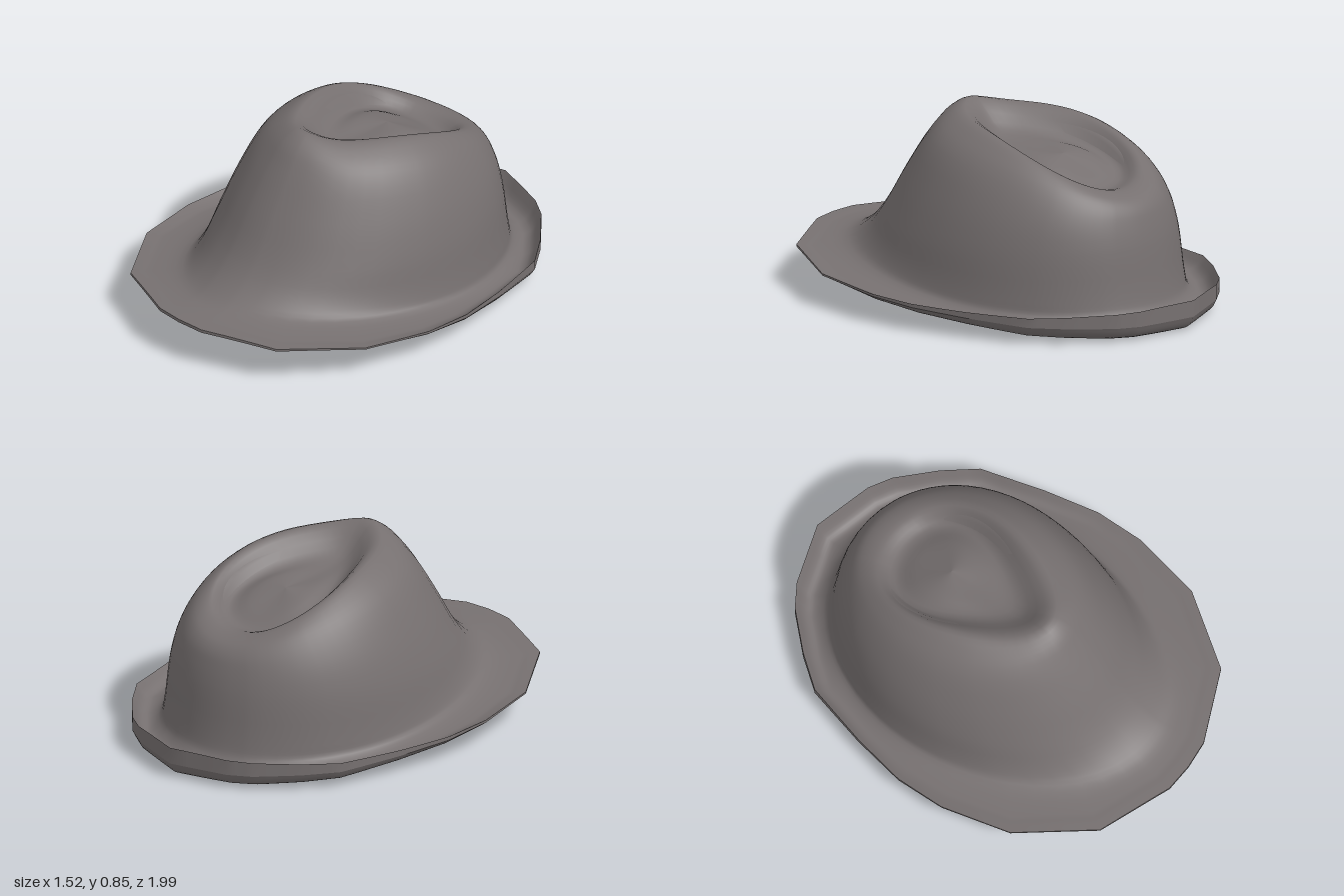
import * as THREE from 'three';

// Right half of the brim outline, front to back: [x, z]
const OUTLINE = [[0, 0.99], [0.13, 0.98], [0.46, 0.84], [0.69, 0.52], [0.76, 0.2], [0.76, -0.03],
  [0.71, -0.28], [0.63, -0.57], [0.52, -0.71], [0.37, -0.86], [0.27, -0.92], [0, -1]];

// Full outline loop, each straight side subdivided, with its angle from the front
function outlineLoop(steps = 3) {
  const corners = [...OUTLINE, ...OUTLINE.slice(1, -1).reverse().map(([x, z]) => [-x, z])];
  const loop = [];
  corners.forEach(([x, z], i) => {
    const [nx, nz] = corners[(i + 1) % corners.length];
    for (let s = 0; s < steps; s++) {
      const px = x + (nx - x) * s / steps, pz = z + (nz - z) * s / steps;
      loop.push({ x: px, z: pz, angle: Math.atan2(px / 0.76, pz) });
    }
  });
  return loop;
}
const LOOP = outlineLoop();

// Height around a ring from its front, side and back values
const blend = (f, s, b, c) => s + (f - b) / 2 * c + ((f + b) / 2 - s) * c * c;

// Ring that follows the brim outline
const brimRing = (scale, f, s, b) => p =>
  new THREE.Vector3(p.x * scale, blend(f, s, b, Math.cos(p.angle)), p.z * scale);

// Oval ring; pinch narrows the front into a teardrop, peak lifts only the front tip
const oval = (w, zf, zb, f, s, b, pinch = 0, peak = 0) => p => {
  const c = Math.cos(p.angle);
  return new THREE.Vector3(w * Math.sin(p.angle) * (1 - pinch * c),
    blend(f, s, b, c) + peak * Math.max(c, 0) ** 6, (zf + zb) / 2 + (zf - zb) / 2 * c);
};

// Smooth surface through a list of rings
function loft(rings, perRing, inward) {
  const n = LOOP.length, rows = (rings.length - 1) * perRing;
  const pos = [], index = [];
  const curves = LOOP.map(p => new THREE.CatmullRomCurve3(rings.map(r => r(p))));
  for (let j = 0; j <= rows; j++) curves.forEach(c => pos.push(...c.getPoint(j / rows).toArray()));
  for (let j = 0; j < rows; j++) for (let i = 0; i < n; i++) {
    const k = (i + 1) % n;
    const a = j * n + i, b = j * n + k, c = a + n, d = b + n;
    if (inward) index.push(a, c, b, b, c, d);
    else index.push(a, b, c, b, d, c);
  }
  const g = new THREE.BufferGeometry();
  g.setAttribute('position', new THREE.Float32BufferAttribute(pos, 3));
  g.setIndex(index);
  g.computeVertexNormals();
  return g;
}

// Crown from its base up over the ridge and down into the teardrop dent
const CROWN = [
  [0.58, 0.70, -0.82, 0.265, 0.17, 0.15, 0.06],
  [0.55, 0.61, -0.79, 0.36, 0.35, 0.36, 0.06],
  [0.50, 0.495, -0.765, 0.55, 0.52, 0.46, 0.06],
  [0.43, 0.385, -0.74, 0.72, 0.66, 0.52, 0.06],
  [0.36, 0.31, -0.70, 0.775, 0.735, 0.56, 0.1, 0.04],
  [0.28, 0.23, -0.62, 0.80, 0.775, 0.585, 0.25, 0.05],
  [0.20, 0.08, -0.53, 0.72, 0.67, 0.57, 0.45],
  [0.12, -0.1, -0.44, 0.69, 0.68, 0.61, 0.3],
  [0, -0.28, -0.28, 0.685, 0.685, 0.685],
];

export function createModel() {
  const hat = new THREE.Group();
  hat.name = 'hat';
  const felt = new THREE.MeshStandardMaterial({ color: 0x767070, side: THREE.DoubleSide });
  felt.name = 'greyFelt';
  const add = (name, geometry) => {
    const mesh = new THREE.Mesh(geometry, felt);
    mesh.name = name;
    hat.add(mesh);
  };

  const edge = brimRing(1, 0.197, 0.128, 0.14);
  const lip = brimRing(1, 0.182, 0.112, 0.065);
  const opening = oval(0.54, 0.70, -0.79, 0.175, 0.1, 0.07, 0.04);

  // Crown flowing out into the top of the brim
  add('crownAndBrimTop', loft([
    edge,
    brimRing(0.955, 0.195, 0.108, 0.06),
    brimRing(0.91, 0.193, 0.1, 0.045),
    oval(0.60, 0.80, -0.84, 0.205, 0.12, 0.085, 0.06),
    ...CROWN.map(r => oval(...r)),
  ], 4, false));

  // Thin outer edge and curled underside of the brim
  add('brimEdge', loft([edge, lip], 1, true));
  add('brimUnderside', loft([
    lip,
    brimRing(0.975, 0.178, 0.094, 0.022),
    brimRing(0.92, 0.175, 0.077, 0.002),
    opening,
  ], 3, true));

  // Hollow inside, set in from the crown
  add('lining', loft([
    opening,
    ...CROWN.map(([w, zf, zb, f, s, b, pinch, peak]) => oval(Math.max(w - 0.02, 0),
      w ? zf - 0.02 : zf, w ? zb + 0.02 : zb, f - 0.025, s - 0.025, b - 0.025, pinch, peak)),
  ], 3, true));

  // Rest the hat on the ground, centred front to back
  const box = new THREE.Box3().setFromObject(hat);
  hat.children.forEach(m => m.geometry.translate(0, -box.min.y, -(box.min.z + box.max.z) / 2));
  return hat;
}
